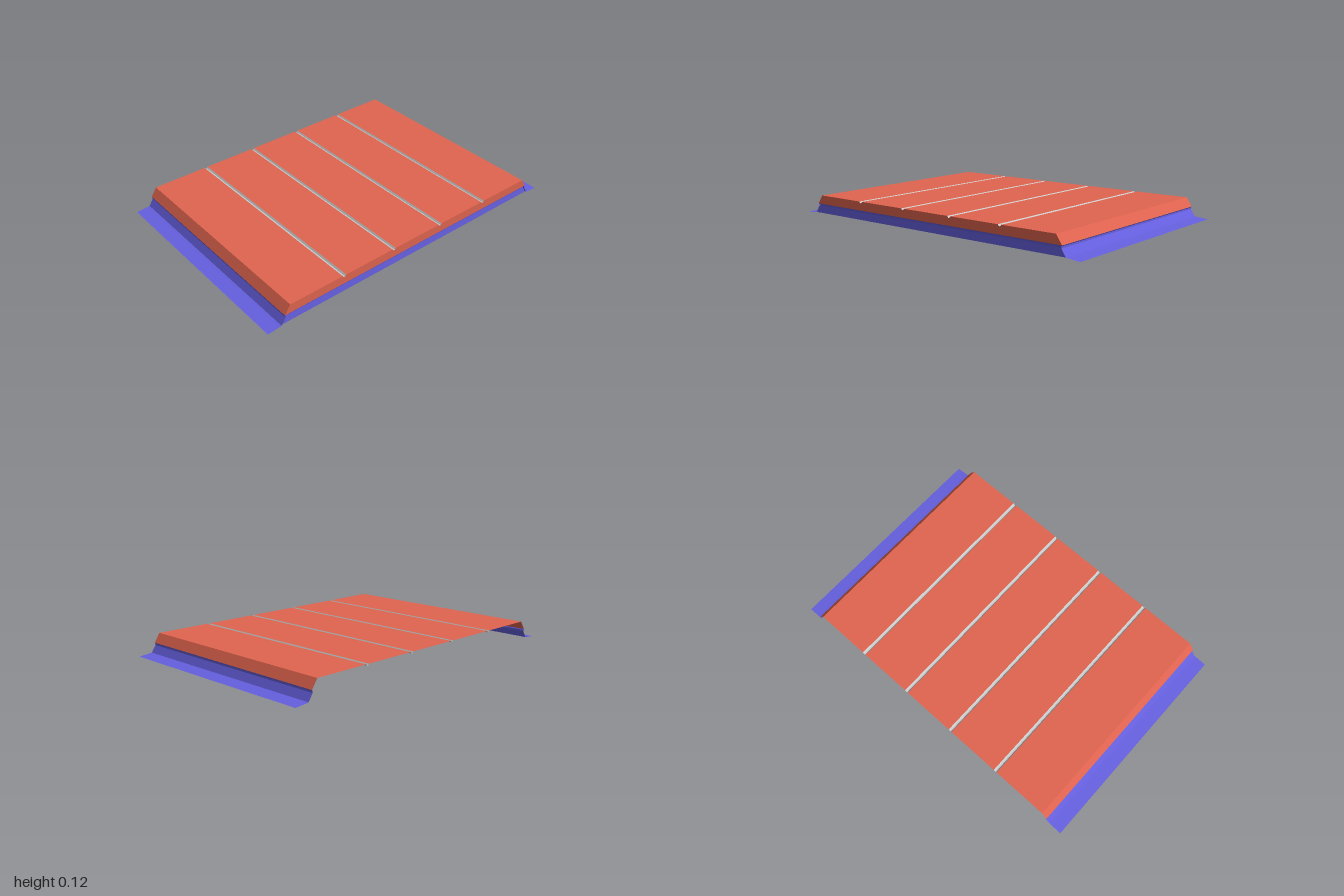
import * as THREE from 'three';

const Z = 0.66, TOP = 0.115, EAVE = 0.063;
const GROOVES = [-0.515, -0.172, 0.172, 0.515];
const HALF = 0.011, DEPTH = 0.009;

const paint = (color) => new THREE.MeshStandardMaterial({ color, flatShading: true, side: THREE.DoubleSide });

// Open sheet joining two matching rows of points with flat quads
function sheet(name, rowA, rowB, material) {
  const pos = [];
  for (let i = 0; i < rowA.length - 1; i++) {
    const [a, b, c, d] = [rowA[i], rowA[i + 1], rowB[i + 1], rowB[i]];
    pos.push(...a, ...b, ...c, ...a, ...c, ...d);
  }
  const geo = new THREE.BufferGeometry();
  geo.setAttribute('position', new THREE.Float32BufferAttribute(pos, 3));
  geo.computeVertexNormals();
  const mesh = new THREE.Mesh(geo, material);
  mesh.name = name;
  return mesh;
}

// Sheet with an x-y profile running from back to front
const run = (name, profile, material) => sheet(name,
  profile.map(([x, y]) => [x, y, Z]), profile.map(([x, y]) => [x, y, -Z]), material);

export function createModel() {
  const model = new THREE.Group();
  const red = paint(0xe0644f), blue = paint(0x6660e0), grey = paint(0xcccccc);

  // Top panels between the grooves
  const edges = [-0.86, ...GROOVES.flatMap((g) => [g - HALF, g + HALF]), 0.86];
  for (let i = 0; i < edges.length; i += 2) {
    model.add(run('topPanel', [[edges[i + 1], TOP], [edges[i], TOP]], red));
  }

  // Shallow grey grooves
  for (const g of GROOVES) {
    model.add(run('groove', [[g + HALF, TOP], [g + 0.004, TOP - DEPTH],
      [g - 0.004, TOP - DEPTH], [g - HALF, TOP]], grey));
  }

  // Sloping side faces and stepped side skirts with flat flanges
  for (const s of [1, -1]) {
    const order = (p) => {
      const q = p.map(([x, y]) => [s * x, y]);
      return s > 0 ? q.reverse() : q;
    };
    model.add(run(s > 0 ? 'leftSlope' : 'rightSlope', order([[0.86, TOP], [0.895, EAVE]]), red));
    model.add(run(s > 0 ? 'leftSkirt' : 'rightSkirt', order([[0.895, EAVE], [0.891, 0.058],
      [0.891, 0.048], [0.917, 0.008], [0.932, 0.006], [1, 0]]), blue));
  }

  // Front fascia, notched where the grooves end
  const fascia = new THREE.Shape();
  fascia.moveTo(-0.895, EAVE).lineTo(0.895, EAVE).lineTo(0.86, TOP);
  for (const g of [...GROOVES].reverse()) {
    fascia.lineTo(g + HALF, TOP).lineTo(g + 0.004, TOP - DEPTH)
      .lineTo(g - 0.004, TOP - DEPTH).lineTo(g - HALF, TOP);
  }
  fascia.lineTo(-0.86, TOP);
  const front = new THREE.Mesh(new THREE.ShapeGeometry(fascia), red);
  front.position.z = Z;
  front.name = 'frontFascia';
  model.add(front);

  // Front skirt, set back under the fascia
  const steps = [[0.895, EAVE, Z], [0.891, 0.058, 0.652], [0.891, 0.048, 0.65], [0.917, 0.006, 0.652]];
  model.add(sheet('frontSkirt', steps.map(([x, y, z]) => [-x, y, z]), steps, blue));

  return model;
}
